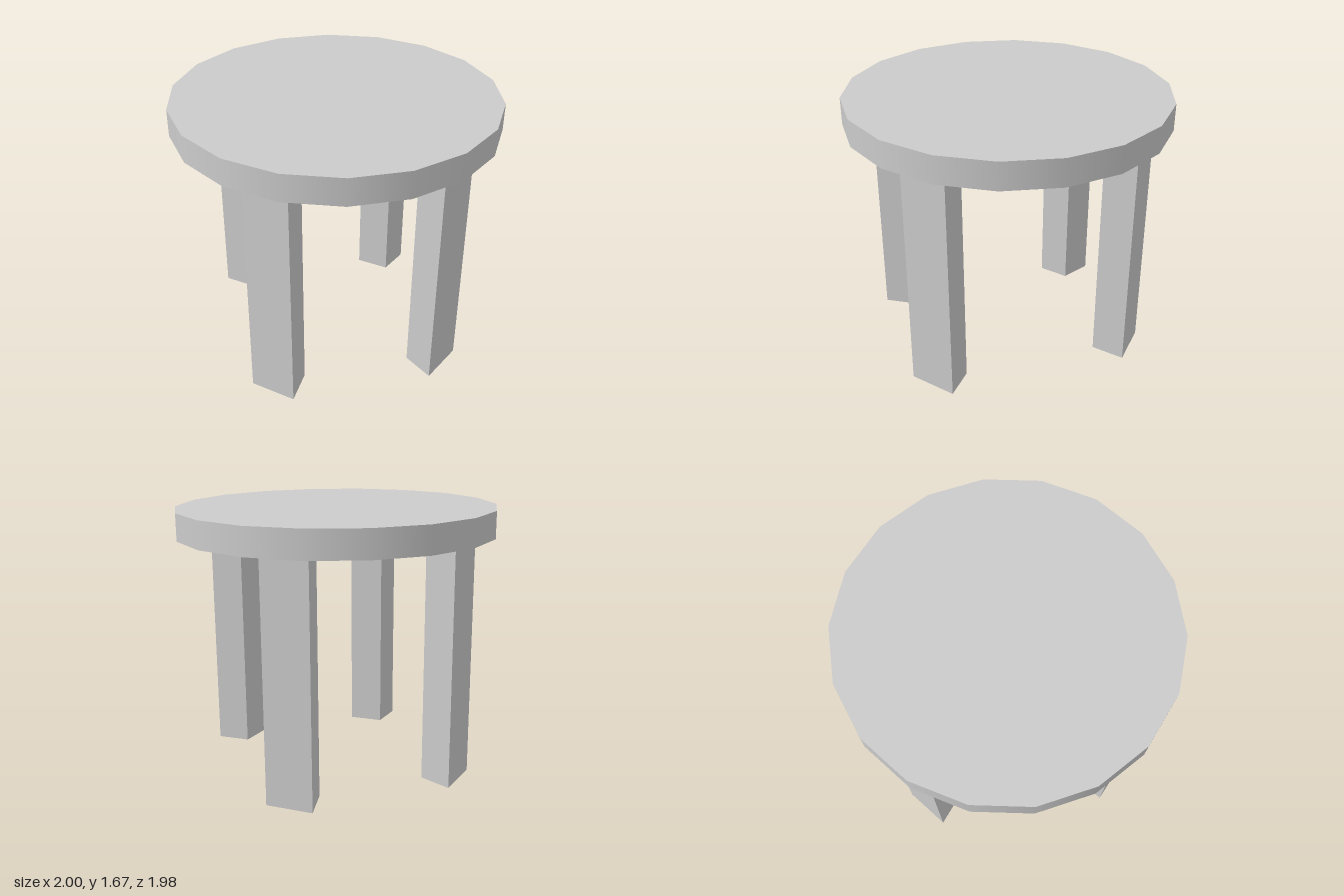
import * as THREE from 'three';

const material = new THREE.MeshStandardMaterial({ color: 0xcccccc });
const LEG_HEIGHT = 1.495;
const TOP_THICKNESS = 0.167;

// Leg with a four-cornered footprint given as [x, z] points
function makeLeg(name, corners) {
  const shape = new THREE.Shape(corners.map(([x, z]) => new THREE.Vector2(x, -z)));
  const geometry = new THREE.ExtrudeGeometry(shape, { depth: LEG_HEIGHT, bevelEnabled: false });
  geometry.rotateX(-Math.PI / 2);
  const leg = new THREE.Mesh(geometry, material);
  leg.name = name;
  return leg;
}

export function createModel() {
  const model = new THREE.Group();
  model.name = 'roundTable';

  // Eighteen-sided top with a smooth rim
  const top = new THREE.Mesh(
    new THREE.CylinderGeometry(1, 1, TOP_THICKNESS, 18, 1, false, THREE.MathUtils.degToRad(11.7)),
    material
  );
  top.name = 'tableTop';
  top.position.y = LEG_HEIGHT + TOP_THICKNESS / 2;

  // Uneven footprints; each opposite leg is the same turned half way round
  const sideLeg = [[0.66, -0.03], [0.873, -0.04], [0.82, -0.33], [0.612, -0.245]];
  const endLeg = [[-0.123, 0.868], [0.182, 0.86], [0.135, 0.655], [-0.07, 0.66]];
  const turned = (corners) => corners.map(([x, z]) => [-x, -z]);

  // Whole table leans very slightly, pivoting at the top
  const pivot = LEG_HEIGHT + TOP_THICKNESS / 2;
  const table = new THREE.Group();
  table.name = 'table';
  table.add(
    top,
    makeLeg('leftLeg', sideLeg),
    makeLeg('rightLeg', turned(sideLeg)),
    makeLeg('frontLeg', endLeg),
    makeLeg('backLeg', turned(endLeg))
  );
  for (const part of table.children) part.position.y -= pivot;
  table.rotation.set(0.005, 0, -0.005);
  table.position.y = pivot + 0.005;
  model.add(table);
  return model;
}
